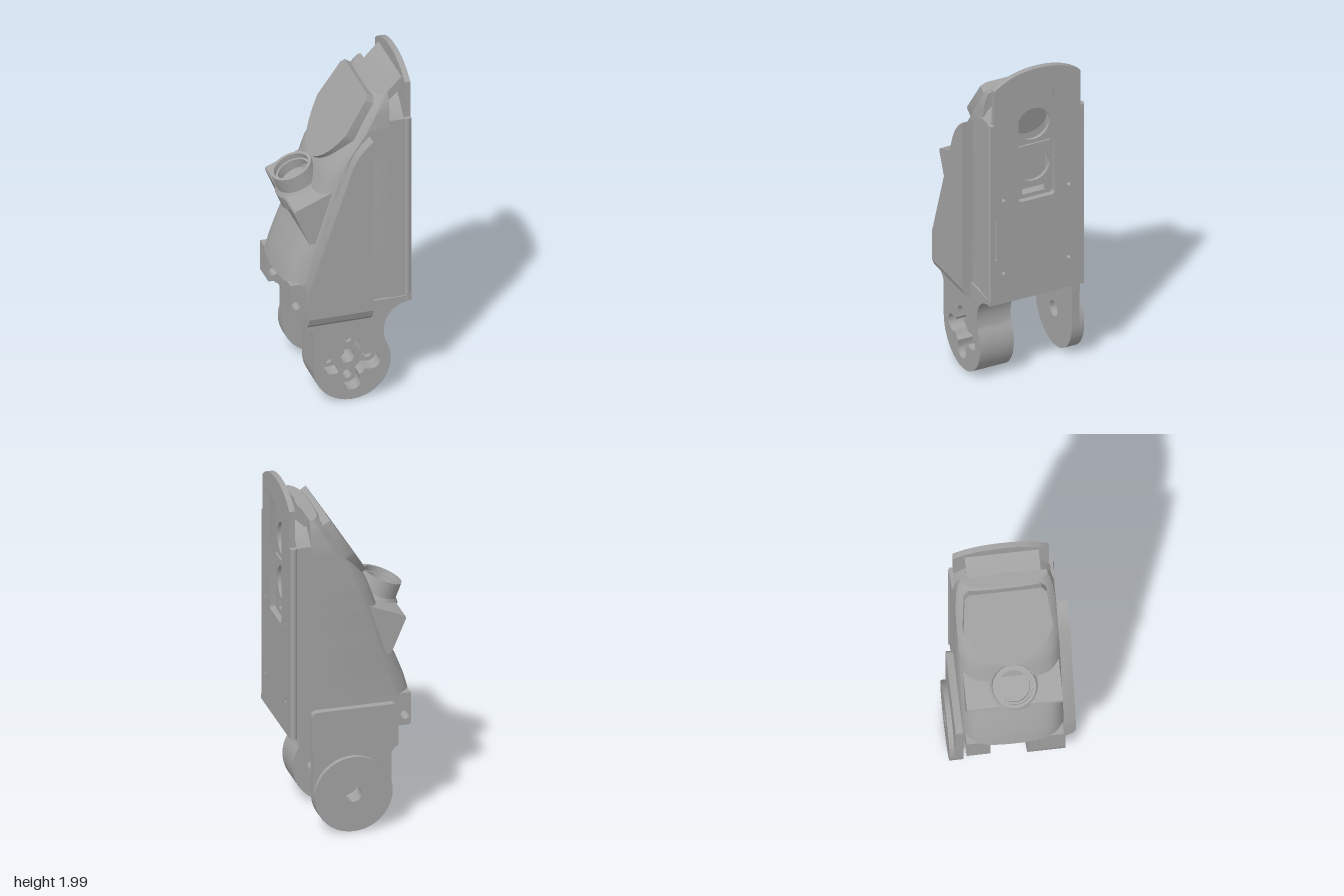
import * as THREE from 'three';
import { toCreasedNormals } from 'three/addons/utils/BufferGeometryUtils.js';

const grey = new THREE.MeshStandardMaterial({ color: 0xa2a2a2 });
grey.name = 'grey';

const poly = (pts) => new THREE.Shape(pts.map(([x, y]) => new THREE.Vector2(x, y)));
const rect = (x0, y0, x1, y1) => poly([[x0, y0], [x1, y0], [x1, y1], [x0, y1]]);
const circle = (x, y, r) => new THREE.Path().absarc(x, y, r, 0, Math.PI * 2, true);
const withHoles = (shape, ...holes) => { shape.holes.push(...holes); return shape; };

// Prism from an xy shape, running from z0 to z1
function prismZ(shape, z0, z1) {
  const g = new THREE.ExtrudeGeometry(shape, { depth: z1 - z0, bevelEnabled: false, curveSegments: 20 });
  return toCreasedNormals(g.translate(0, 0, z0), 0.5);
}
// Prism from a shape drawn in (z, y), running from x0 to x1
function prismX(shape, x0, x1) {
  const g = new THREE.ExtrudeGeometry(shape, { depth: x1 - x0, bevelEnabled: false, curveSegments: 20 });
  return toCreasedNormals(g.rotateY(-Math.PI / 2).translate(x1, 0, 0), 0.5);
}
// Piecewise linear lookup in [[y, value], ...]
function lookup(table, y) {
  for (let i = 1; i < table.length; i++) {
    const [y0, a] = table[i - 1], [y1, b] = table[i];
    if (y <= y1) return a + (b - a) * (y - y0) / (y1 - y0);
  }
  return table[table.length - 1][1];
}
// Upright panel with an arched top, in (z, y)
function archShape(half, bottom, shoulder, top) {
  const s = new THREE.Shape();
  s.moveTo(-half, bottom);
  s.lineTo(half, bottom);
  s.lineTo(half, shoulder);
  s.quadraticCurveTo(half * 0.62, top, 0, top);
  s.quadraticCurveTo(-half * 0.62, top, -half, shoulder);
  return s;
}

// Sloping shell with rounded front corners, as stacked plan sections
function shellGeometry() {
  const centre = [[0.75, -0.355], [0.83, -0.333], [0.95, -0.285], [1.05, -0.237], [1.2, -0.2], [1.4, -0.13], [1.62, 0.01], [1.8, 0.125], [1.84, 0.16]];
  const edge = [[0.75, -0.25], [1.05, -0.16], [1.4, -0.045], [1.5, 0], [1.62, 0.085], [1.84, 0.21]];
  const width = [[0.75, 0.275], [1.66, 0.275], [1.78, 0.262], [1.84, 0.24]];
  const rows = 30, cols = 28, back = 0.23, pos = [];
  const ring = (j) => {
    const y = 0.75 + 1.09 * j / rows, w = lookup(width, y);
    const xc = lookup(centre, y), xe = lookup(edge, y);
    const pts = [[back, y, -w]];
    for (let i = 0; i <= cols; i++) {
      const t = Math.sin((i / cols - 0.5) * Math.PI);
      pts.push([xc + (xe - xc) * (0.25 * t * t + 0.75 * Math.abs(t) ** 7), y, w * t]);
    }
    pts.push([back, y, w]);
    return pts;
  };
  const tri = (...p) => p.forEach((v) => pos.push(...v));
  for (let j = 0; j < rows; j++) {
    const a = ring(j), b = ring(j + 1);
    for (let i = 0; i < a.length; i++) {
      const k = (i + 1) % a.length;
      tri(a[i], a[k], b[k]);
      tri(a[i], b[k], b[i]);
    }
  }
  const low = ring(0), high = ring(rows);
  for (let i = 0; i < low.length; i++) {
    const k = (i + 1) % low.length;
    tri([0.1, 0.75, 0], low[k], low[i]);
    tri([0.22, 1.84, 0], high[i], high[k]);
  }
  const g = new THREE.BufferGeometry();
  g.setAttribute('position', new THREE.Float32BufferAttribute(pos, 3));
  return toCreasedNormals(g, 0.6);
}

export function createModel() {
  const model = new THREE.Group();
  const add = (name, geometry) => {
    const m = new THREE.Mesh(geometry, grey);
    m.name = name;
    model.add(m);
    return m;
  };
  const px = 0.01, py = 0.23, r = 0.22; // pivot shared by both lower arms

  // Main housing
  add('shell', shellGeometry());
  add('shellBase', prismZ(rect(-0.25, 0.57, 0.23, 0.76), -0.275, 0.275));
  for (const s of [-1, 1]) {
    const ear = withHoles(poly([[-0.25, 0.57], [-0.25, 0.76], [-0.335, 0.76], [-0.335, 0.58], [-0.325, 0.57]]), circle(-0.302, 0.63, 0.025));
    add('frontEar', prismZ(ear, s * 0.2 - 0.065, s * 0.2 + 0.065));
  }

  // Raised side panel with a sloping lower lip
  add('sidePanel', prismZ(poly([[-0.25, 0.57], [0.115, 0.57], [0.115, 1.62], [0.07, 1.58], [0.03, 1.53], [0, 1.47], [-0.25, 0.74]]), 0.26, 0.34));
  add('sidePanelLip', prismX(poly([[0.26, 0.57], [0.26, 0.5], [0.29, 0.5], [0.325, 0.53], [0.34, 0.57]]), -0.25, 0.115));

  // Cover lying on the upper slope
  const cover = new THREE.Shape();
  cover.moveTo(0.51, -0.2);
  cover.lineTo(0.48, -0.225);
  cover.lineTo(0.25, -0.245);
  cover.quadraticCurveTo(0.02, -0.16, 0, 0);
  cover.quadraticCurveTo(0.02, 0.16, 0.25, 0.245);
  cover.lineTo(0.48, 0.225);
  cover.lineTo(0.51, 0.2);
  cover.holes.push(circle(0.43, 0, 0.026));
  const coverMesh = add('slopeCover', prismZ(cover, -0.05, 0.018));
  // shape x runs up the slope, shape y across, thickness outward
  const up = new THREE.Vector3(0.275, 0.43, 0).normalize();
  const across = new THREE.Vector3(0, 0, 1);
  const out = up.clone().cross(across).negate();
  coverMesh.quaternion.setFromRotationMatrix(new THREE.Matrix4().makeBasis(up, across.clone().negate(), out));
  coverMesh.position.set(-0.135, 1.405, 0);

  // Wedge and round socket
  add('wedge', prismZ(poly([[-0.225, 1.0], [-0.1, 1.0], [0, 1.3], [-0.11, 1.295], [-0.305, 1.215], [-0.31, 1.2]]), -0.26, 0.265));
  const profile = [[0.14, -0.2], [0.14, -0.115], [0.12, -0.09], [0.118, 0], [0.1, 0], [0.1, -0.03], [0.087, -0.03], [0.087, -0.085], [0, -0.085]];
  const socket = add('socket', toCreasedNormals(new THREE.LatheGeometry(profile.map(([a, b]) => new THREE.Vector2(a, b)), 40), 0.5));
  socket.position.set(-0.247, 1.355, 0.005);
  socket.rotation.z = 0.4;

  // Rear housing, arched end plate and sloped top panel
  add('rearHousing', prismX(withHoles(archShape(0.265, 0.575, 1.7, 1.84), rect(-0.105, 1.18, 0.115, 1.8)), 0.23, 0.31));
  const opening = new THREE.Path();
  const [a0, a1, b0, b1, c] = [-0.105, 0.115, 1.18, 1.86, 0.02];
  opening.moveTo(a0 + c, b0);
  for (const [qx, qy, x, y, nx, ny] of [
    [a1, b0, a1, b0 + c, a1 - c, b0], [a1, b1, a1 - c, b1, a1, b1 - c],
    [a0, b1, a0, b1 - c, a0 + c, b1], [a0, b0, a0 + c, b0, a0, b0 + c]]) {
    opening.lineTo(nx, ny);
    opening.quadraticCurveTo(qx, qy, x, y);
  }
  const pins = [0.205, -0.19].flatMap((z) => [1.22, 0.76].map((y) => circle(z, y, 0.011)));
  add('endPlate', prismX(withHoles(archShape(0.262, 0.57, 1.915, 2.0), opening, rect(0.246, 0.85, 0.256, 1.1), ...pins), 0.318, 0.35));
  add('topPanel', prismZ(poly([[0.19, 1.79], [0.25, 1.79], [0.33, 1.87], [0.33, 1.93], [0.31, 1.915]]), -0.2, 0.205));

  // Recessed frame with two round windows and a slot
  add('windowFrame', prismX(withHoles(rect(-0.11, 1.175, 0.12, 1.865),
    circle(0.005, 1.63, 0.098), circle(0.005, 1.37, 0.098), rect(-0.065, 1.2, 0.075, 1.245)), 0.292, 0.312));
  const lens = add('tiltedLens', new THREE.CylinderGeometry(0.1, 0.1, 0.01, 32));
  lens.position.set(0.262, 1.63, 0.005);
  lens.rotation.z = -Math.PI / 2 - 0.3;
  for (const y of [1.7, 1.82]) {
    const bar = add('frameBar', new THREE.BoxGeometry(0.02, 0.012, 0.2));
    bar.position.set(0.312, y === 1.7 ? 1.505 : 1.835, 0.005);
  }

  // Side rails with a row of holes and a rounded outer ridge
  const rowHoles = () => [0.735, 0.96, 1.185, 1.41, 1.64].map((y) => circle(0.25, y, 0.021));
  for (const s of [-1, 1]) {
    add('sideRail', prismZ(withHoles(rect(0.23, 0.57, 0.35, 1.7), ...rowHoles()), s * 0.269 - 0.012, s * 0.269 + 0.012));
    const ridge = add('railRidge', new THREE.CylinderGeometry(0.02, 0.02, 1.13, 16));
    ridge.position.set(0.329, 1.135, s * 0.27);
  }

  // Thick lower arm with a four lobed recess
  const armShape = () => {
    const s = new THREE.Shape();
    s.moveTo(0.35, 0.6);
    s.lineTo(-0.25, 0.6);
    s.lineTo(-0.25, 0.48);
    s.quadraticCurveTo(-0.21, 0.46, px - r, 0.42);
    s.absarc(px, py, r, Math.PI, Math.PI * 2 + 0.55, false);
    s.bezierCurveTo(0.17, 0.46, 0.22, 0.56, 0.35, 0.57);
    return s;
  };
  const lobes = [0, 1, 2, 3].map((k) => [px + 0.112 * Math.cos(k * Math.PI / 2), py + 0.112 * Math.sin(k * Math.PI / 2)]);
  const recess = [];
  for (let i = 0; i < 96; i++) {
    const a = -i / 96 * Math.PI * 2;
    const near = a - Math.round(a / (Math.PI / 2)) * Math.PI / 2;
    const k = 0.05 ** 2 - (0.112 * Math.sin(near)) ** 2;
    const d = k > 0 ? Math.max(0.085, 0.112 * Math.cos(near) + Math.sqrt(k)) : 0.085;
    recess.push(new THREE.Vector2(px + d * Math.cos(a), py + d * Math.sin(a)));
  }
  add('armInner', prismZ(withHoles(armShape(), circle(px, py, 0.042), ...lobes.map(([x, y]) => circle(x, y, 0.026))), 0.083, 0.2));
  add('armOuter', prismZ(withHoles(armShape(), new THREE.Path(recess)), 0.2, 0.288));

  // Thin opposite arm with a thicker pivot disc
  const thin = new THREE.Shape();
  thin.moveTo(0.235, 0.69);
  thin.quadraticCurveTo(0.235, 0.725, 0.2, 0.725);
  thin.lineTo(-0.215, 0.725);
  thin.quadraticCurveTo(-0.25, 0.725, -0.25, 0.69);
  thin.lineTo(-0.25, 0.48);
  thin.quadraticCurveTo(-0.21, 0.46, px - r, 0.42);
  thin.absarc(px, py, r, Math.PI, Math.PI * 2, false);
  add('thinArm', prismZ(withHoles(thin, circle(px, py, 0.045)), -0.315, -0.268));
  const disc = new THREE.Shape().absarc(px, py, r, 0, Math.PI * 2, false);
  add('pivotDisc', prismZ(withHoles(disc, circle(px, py, 0.045)), -0.343, -0.315));

  return model;
}
